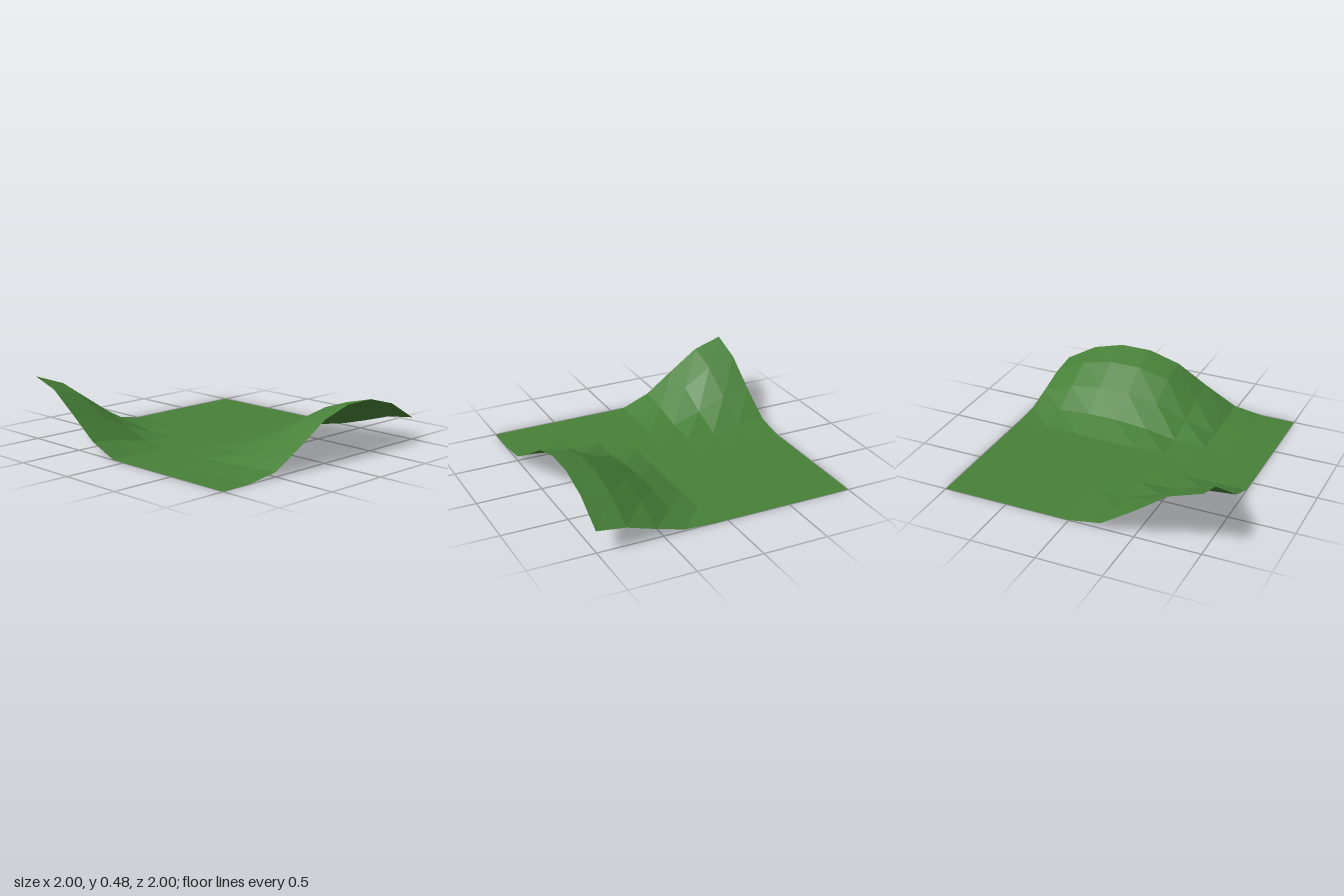
import * as THREE from 'three';

// Smooth falloff radius shared by both hills
const RADIUS = 0.922;

// Each hill: peak points on the ground grid (x, z) and height
const hills = [
  { height: 0.385, peaks: [[1, -0.5], [1, -0.25]] },
  { height: 0.48, peaks: [[-1, 1]] },
];

function groundHeight(x, z) {
  let y = 0;
  for (const { height, peaks } of hills) {
    const d = Math.min(...peaks.map(([px, pz]) => Math.hypot(x - px, z - pz)));
    const t = Math.max(0, 1 - d / RADIUS);
    y += height * t * t * (3 - 2 * t);
  }
  return y;
}

export function createModel() {
  const group = new THREE.Group();
  group.name = 'terrain';

  const grass = new THREE.MeshStandardMaterial({
    color: 0x478038,
    flatShading: true,
    side: THREE.DoubleSide,
  });
  grass.name = 'grass green';

  // Low-poly sheet, 9 cells across and 8 cells deep, raised into two hills
  const geometry = new THREE.PlaneGeometry(2, 2, 9, 8).rotateX(-Math.PI / 2);
  const pos = geometry.attributes.position;
  for (let i = 0; i < pos.count; i++) {
    pos.setY(i, groundHeight(pos.getX(i), pos.getZ(i)));
  }
  geometry.computeVertexNormals();

  const ground = new THREE.Mesh(geometry, grass);
  ground.name = 'hillyGround';
  group.add(ground);
  return group;
}
